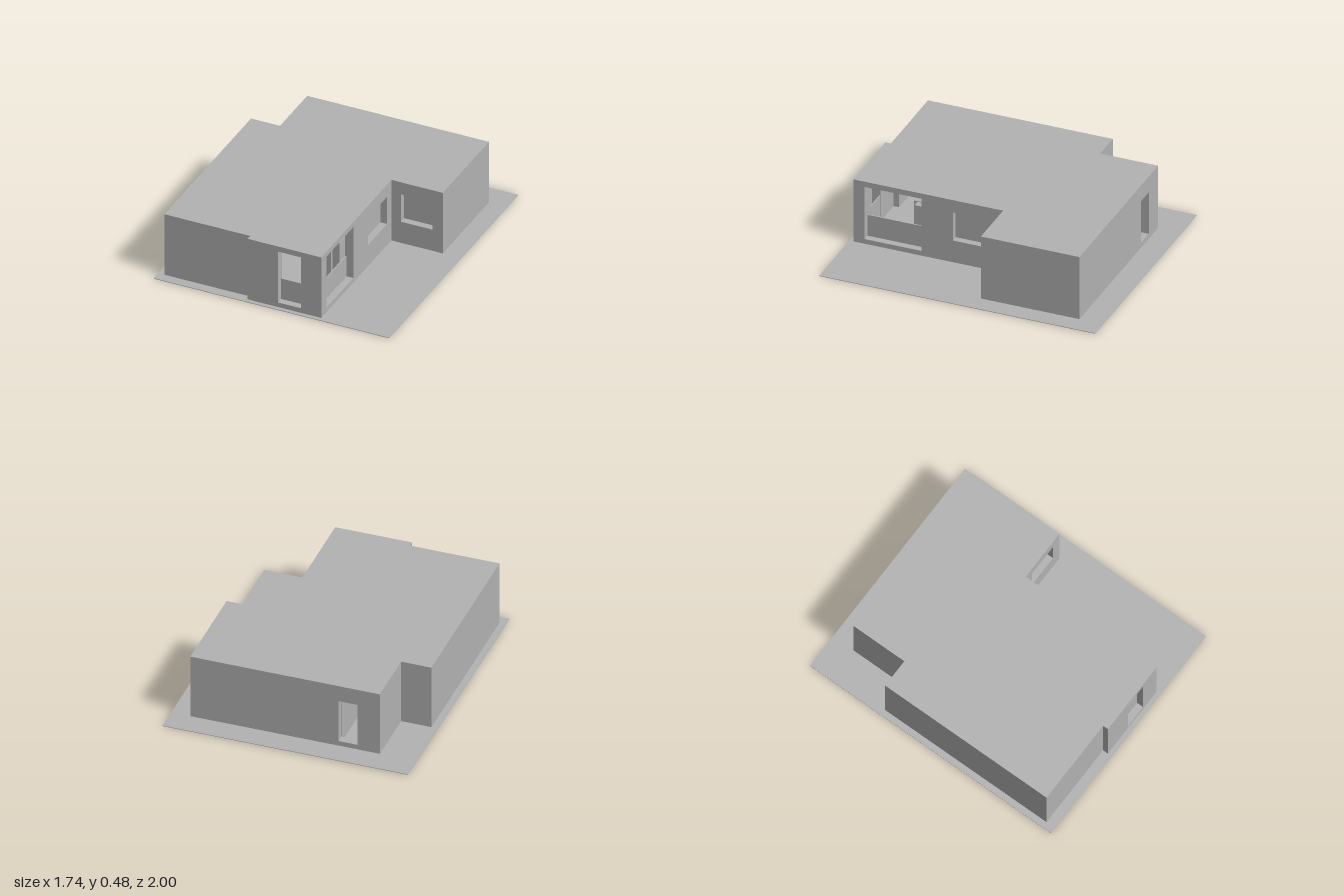
import * as THREE from 'three';

const concrete = new THREE.MeshStandardMaterial({ color: 0xb2b2b2, side: THREE.DoubleSide });
concrete.name = 'plain grey';

const WALL_TOP = 0.45, ROOF_TOP = 0.48, THICK = 0.06;

// Footprint corners [x, z], walked with the outside on the right-hand side
const footprint = [
  [-0.825, 0.93], [-0.19, 0.93], [-0.19, 0.97], [0.355, 0.97], [0.355, -0.115],
  [0.735, -0.115], [0.735, -0.83], [-0.61, -0.83], [-0.61, -0.41], [-0.825, -0.41],
];

// Openings by wall index: distance along the wall, bottom and top, and height of the recessed panel
const openings = {
  2: [{ u: [0.225, 0.395], y: [0.04, 0.44], panel: 0.2 }],
  3: [{ u: [0.08, 0.495], y: [0.04, 0.44], panel: 0.2 },
      { u: [0.72, 1.02], y: [0.17, 0.385], panel: 0.385 }],
  4: [{ u: [0.07, 0.305], y: [0.17, 0.385], panel: 0.385 }],
  6: [{ u: [1.05, 1.185], y: [0.04, 0.36] }],
};

function add(parent, name, geometry, x = 0, y = 0, z = 0) {
  const mesh = new THREE.Mesh(geometry, concrete);
  mesh.name = name;
  mesh.position.set(x, y, z);
  parent.add(mesh);
  return mesh;
}

function addBox(parent, name, [x0, x1], [y0, y1], [z0, z1]) {
  return add(parent, name, new THREE.BoxGeometry(x1 - x0, y1 - y0, z1 - z0),
    (x0 + x1) / 2, (y0 + y1) / 2, (z0 + z1) / 2);
}

function rectangle(Type, [x0, x1], [y0, y1]) {
  return new Type([[x0, y0], [x1, y0], [x1, y1], [x0, y1]].map(p => new THREE.Vector2(...p)));
}

// Wall from a to b with cut openings; local +z is outside
function makeWall(a, b, holes) {
  const wall = new THREE.Group();
  wall.name = 'wall';
  const dx = b[0] - a[0], dz = b[1] - a[1];
  const shape = rectangle(THREE.Shape, [0, Math.hypot(dx, dz)], [0, WALL_TOP]);
  for (const h of holes) shape.holes.push(rectangle(THREE.Path, h.u, h.y));
  const geometry = new THREE.ExtrudeGeometry(shape, { depth: THICK, bevelEnabled: false });
  add(wall, 'wallBody', geometry, 0, 0, -THICK);
  for (const h of holes) {
    if (h.panel) addBox(wall, 'windowPanel', h.u, [h.y[0], h.panel], [-0.058, -0.05]);
  }
  wall.position.set(a[0], 0, a[1]);
  wall.rotation.y = Math.atan2(-dz, dx);
  return wall;
}

// Horizontal slab over the footprint
function addSlab(parent, name, bottom, top) {
  const shape = new THREE.Shape(footprint.map(([x, z]) => new THREE.Vector2(x, -z)));
  const geometry = new THREE.ExtrudeGeometry(shape, { depth: top - bottom, bevelEnabled: false });
  geometry.rotateX(-Math.PI / 2);
  add(parent, name, geometry, 0, bottom, 0);
}

export function createModel() {
  const house = new THREE.Group();
  house.name = 'house';

  addBox(house, 'groundPlate', [-0.87, 0.87], [0, 0.004], [-1, 1]);
  footprint.forEach((a, i) => {
    house.add(makeWall(a, footprint[(i + 1) % footprint.length], openings[i] || []));
  });
  addSlab(house, 'roof', WALL_TOP, ROOF_TOP);

  // Interior partition beside the back doorway
  addBox(house, 'partition', [-0.32, -0.28], [0.004, WALL_TOP], [-0.77, 0.2]);
  // Cabinets behind the corner windows
  addBox(house, 'tallCabinet', [0.13, 0.24], [0.004, 0.345], [0.3, 0.58]);
  addBox(house, 'sideCabinet', [0.24, 0.29], [0.004, 0.34], [0.3, 0.555]);

  return house;
}
